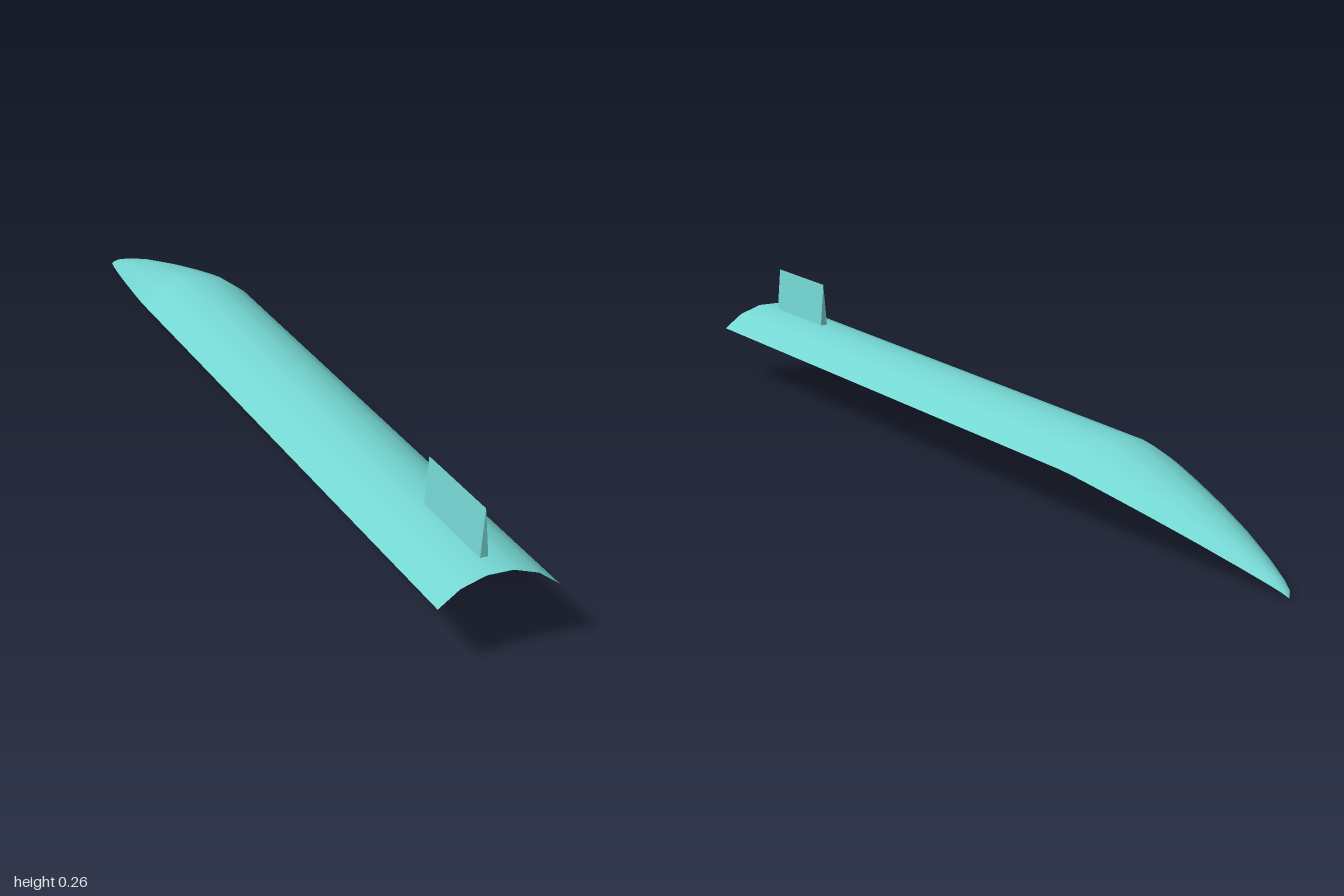
import * as THREE from 'three';

const R = 0.166;          // shell radius
const ARC = Math.PI / 2;  // the shell spans a quarter turn

export function createModel() {
  const group = new THREE.Group();
  const material = new THREE.MeshStandardMaterial({ color: 0x74d6d2, side: THREE.DoubleSide });

  // Open shell: straight body, then a curved taper to the tip (radius ratio, z)
  const profile = [
    [1, 1], [1, -0.45], [0.975, -0.49], [0.92, -0.535], [0.83, -0.6], [0.68, -0.7],
    [0.51, -0.8], [0.31, -0.9], [0.17, -0.96], [0.08, -0.99], [0, -1],
  ].map(([r, z]) => new THREE.Vector2(r * R, -z));
  const shellGeometry = new THREE.LatheGeometry(profile, 5, -ARC / 2, ARC);
  shellGeometry.rotateX(-Math.PI / 2);
  const shell = new THREE.Mesh(shellGeometry, material);
  shell.name = 'curvedShell';
  group.add(shell);

  // Thin wedge fin standing on the crown
  const wedge = new THREE.Shape();
  wedge.moveTo(-0.008, 0.162);
  wedge.lineTo(0.008, 0.162);
  wedge.lineTo(0, 0.258);
  wedge.closePath();
  const finGeometry = new THREE.ExtrudeGeometry(wedge, { depth: 0.22, bevelEnabled: false });
  finGeometry.translate(0, 0, 0.72);
  const fin = new THREE.Mesh(finGeometry, material);
  fin.name = 'fin';
  group.add(fin);

  return group;
}
